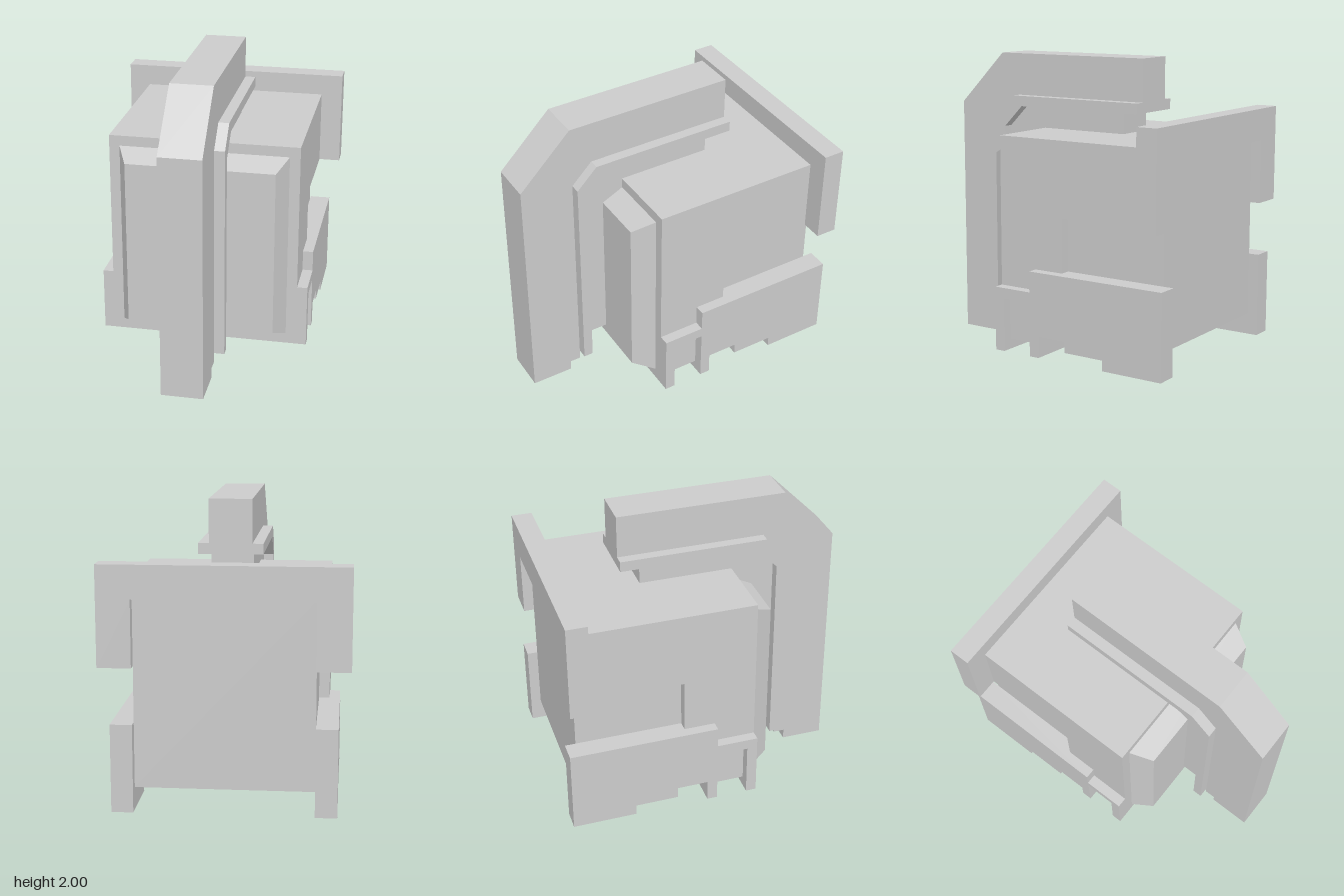
import * as THREE from 'three';

const material = new THREE.MeshStandardMaterial({ color: 0xcccccc, flatShading: true });

function shapeFrom(points) {
  return new THREE.Shape(points.map(([a, b]) => new THREE.Vector2(a, b)));
}

// Extrudes a side profile of [z, y] points between two x positions
function sideSlab(name, x0, x1, points) {
  const geo = new THREE.ExtrudeGeometry(shapeFrom(points), { depth: x1 - x0, bevelEnabled: false });
  geo.rotateY(-Math.PI / 2).translate(x1, 0, 0);
  const mesh = new THREE.Mesh(geo, material);
  mesh.name = name;
  return mesh;
}

export function createModel() {
  const model = new THREE.Group();
  model.name = 'model';

  // Inner block with two crosswise rails underneath
  model.add(sideSlab('core', -0.57, 0.57, [
    [0.28, 0.07], [0.28, 1.43], [-0.93, 1.43], [-0.93, 0.215], [-0.07, 0.215],
    [-0.07, 0.07], [0, 0.07], [0, 0.14], [0.21, 0.14], [0.21, 0.07],
  ]));

  // Wider housing, cut back behind the middle of the sides
  model.add(sideSlab('housing', -0.64, 0.64, [
    [0.28, 0.14], [0.28, 1.5], [-0.86, 1.5], [-0.86, 1.0], [-0.21, 1.0],
    [-0.21, 0.215], [0, 0.215], [0, 0.14],
  ]));

  // Stepped side skirts with an open slot near the front
  const skirt = [
    [0.28, 0.07], [0.28, 0.5], [0, 0.5], [0, 0.64], [-1, 0.64], [-1, 0.07],
    [-0.57, 0.07], [-0.57, 0.14], [-0.28, 0.14], [-0.28, 0.215], [-0.07, 0.215],
    [-0.07, 0.07], [0, 0.07], [0, 0.43], [0.21, 0.43], [0.21, 0.07],
  ];
  model.add(sideSlab('leftSkirt', 0.57, 0.71, skirt));
  model.add(sideSlab('rightSkirt', -0.71, -0.57, skirt));

  // Arch-shaped frame around the top of the back
  const frameGeo = new THREE.ExtrudeGeometry(shapeFrom([
    [-0.785, 1.0], [-0.57, 1.0], [-0.57, 1.43], [0.57, 1.43],
    [0.57, 1.0], [0.785, 1.0], [0.785, 1.645], [-0.785, 1.645],
  ]), { depth: 0.14, bevelEnabled: false });
  frameGeo.translate(0, 0, -1);
  const frame = new THREE.Mesh(frameGeo, material);
  frame.name = 'backFrame';
  model.add(frame);

  // Front panel: a box whose front face is drawn in to make sloped edges
  const panelGeo = new THREE.BoxGeometry(1.14, 1.285, 0.145);
  const pos = panelGeo.attributes.position;
  for (let i = 0; i < pos.count; i++) {
    if (pos.getZ(i) > 0) {
      pos.setX(i, Math.sign(pos.getX(i)) * 0.5);
      pos.setY(i, Math.sign(pos.getY(i)) * 0.572);
    }
  }
  const panel = new THREE.Mesh(panelGeo, material);
  panel.name = 'frontPanel';
  panel.position.set(0, 0.7875, 0.3525);
  model.add(panel);

  // Bent spine running up the front and back over the top
  const spine = new THREE.Group();
  spine.name = 'spine';
  spine.add(sideSlab('spineBar', -0.14, 0.14, [
    [1, 0], [1, 1.645], [0.645, 2], [-0.5, 2], [-0.5, 1.715], [0.5, 1.715],
    [0.64, 1.575], [0.64, 0.07], [0.715, 0.07], [0.715, 0],
  ]));
  spine.add(sideSlab('spineFlange', -0.21, 0.21, [
    [0.64, 0.14], [0.64, 1.575], [0.5, 1.715], [-0.5, 1.715], [-0.5, 1.645],
    [0.43, 1.645], [0.575, 1.5], [0.575, 0.14],
  ]));
  spine.add(sideSlab('spineWeb', -0.14, 0.14, [
    [0.575, 0.285], [0.575, 1.5], [0.43, 1.645], [-0.355, 1.645], [-0.355, 1.5],
    [0.28, 1.5], [0.28, 1.36], [0.425, 1.36], [0.425, 0.285],
  ]));
  model.add(spine);

  return model;
}
